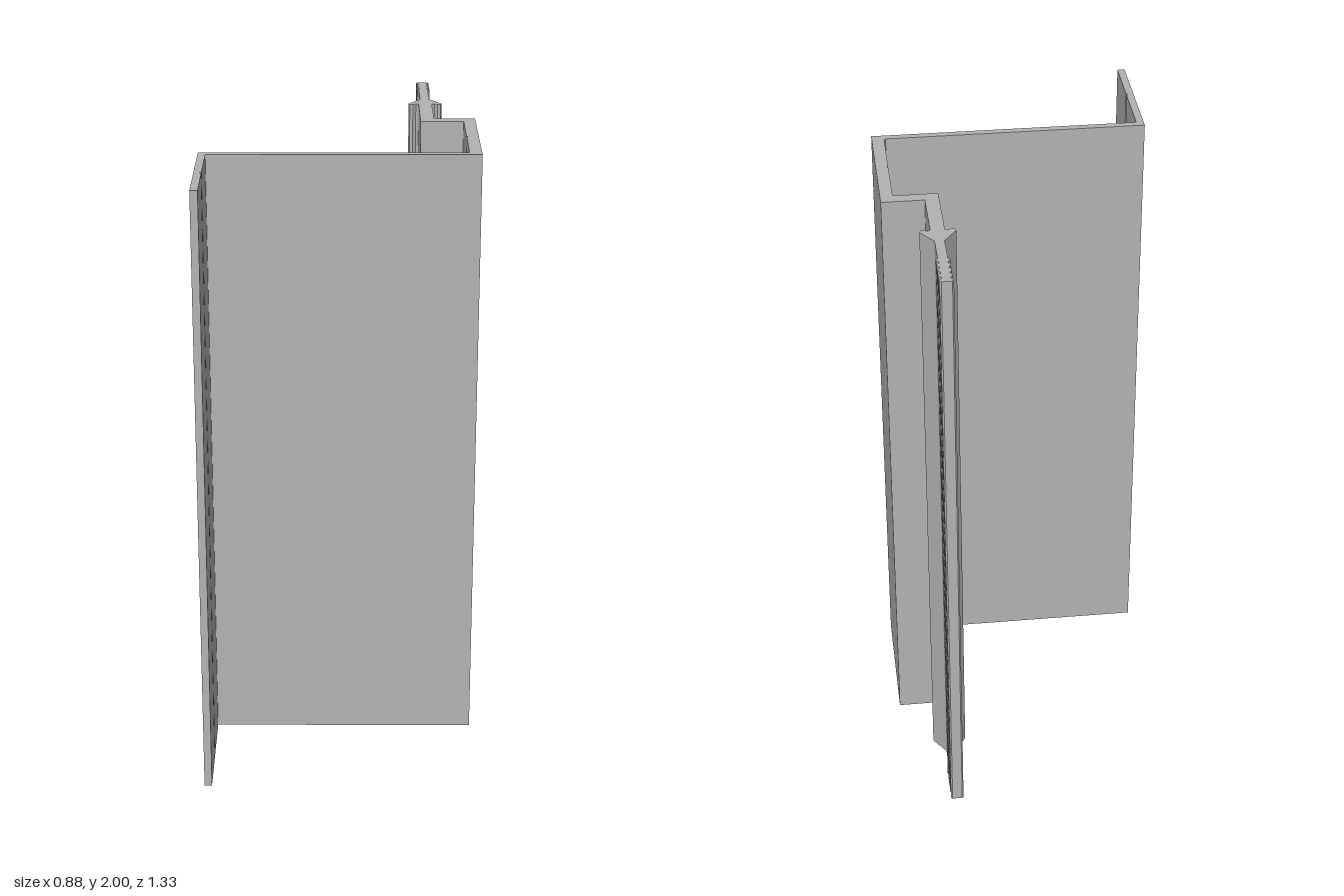
import * as THREE from 'three';

const HEIGHT = 2;
const STEM_X = 0.282; // centre line of the barbed tongue

// Right half of the tongue as [offset from centre line, z], from base to tip
function tongueHalf() {
  const half = [
    [0.022, -0.362], [0.031, -0.367], [0.041, -0.359], [0.051, -0.36], [0.055, -0.372],
    [0.015, -0.43], [0.015, -0.533],
  ];
  // Gripping ribs
  for (let i = 0; i < 5; i++) {
    const z = -0.541 - i * 0.0295;
    half.push([0.021, z + 0.003], [0.021, z - 0.003]);
    if (i < 4) half.push([0.012, z - 0.0148]);
  }
  half.push([0.016, -0.667]);
  return half;
}

export function createModel() {
  const group = new THREE.Group();
  group.name = 'extrudedProfile';
  const grey = new THREE.MeshStandardMaterial({ color: 0xb3b3b3 });
  grey.name = 'grey';

  const half = tongueHalf();
  const right = half.map(([d, z]) => [STEM_X + d, z]);
  const left = half.map(([d, z]) => [STEM_X - d, z]).reverse();

  // Outline as [x, z]
  const outline = [
    // flange with a small scored groove
    [-0.44, 0.665], [-0.416, 0.665], [-0.416, 0.482], [-0.423, 0.475], [-0.416, 0.468],
    // web and outer side wall
    [-0.416, 0.27], [0.438, 0.27], [0.438, -0.174],
    // step back to the tongue
    [0.304, -0.174], ...right, ...left, [0.26, -0.135], [0.399, -0.135],
    // inner side wall with its groove
    [0.399, 0.05], [0.404, 0.055], [0.399, 0.06], [0.399, 0.24], [0.394, 0.246],
    [-0.44, 0.246],
  ];
  const shape = new THREE.Shape(outline.map(([x, z]) => new THREE.Vector2(x, -z)));

  const geometry = new THREE.ExtrudeGeometry(shape, { depth: HEIGHT, bevelEnabled: false });
  geometry.rotateX(-Math.PI / 2);
  const profile = new THREE.Mesh(geometry, grey);
  profile.name = 'steppedTrimProfile';
  group.add(profile);
  return group;
}
